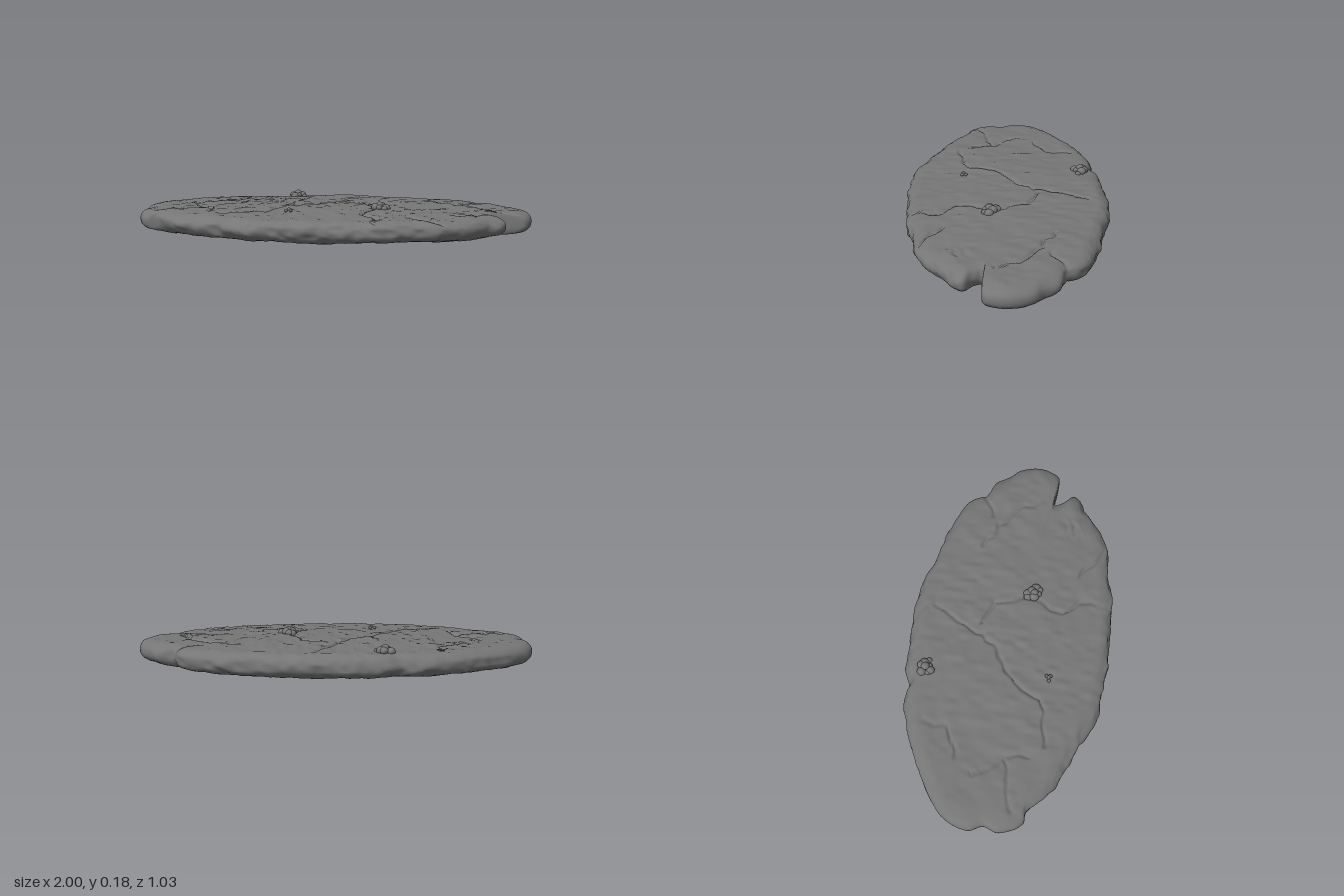
import * as THREE from 'three';

const material = new THREE.MeshStandardMaterial({ color: 0x767676 });

// Smooth value noise in the range -1..1
const hash = (x, y, z) => {
  const s = Math.sin(x * 127.1 + y * 311.7 + z * 74.7) * 43758.5453;
  return (s - Math.floor(s)) * 2 - 1;
};
function noise(x, y, z) {
  const [i, j, k] = [x, y, z].map(Math.floor);
  const [u, v, w] = [x - i, y - j, z - k].map((t) => t * t * (3 - 2 * t));
  const mix = THREE.MathUtils.lerp;
  const row = (b, c) => mix(hash(i, b, c), hash(i + 1, b, c), u);
  return mix(mix(row(j, k), row(j + 1, k), v), mix(row(j, k + 1), row(j + 1, k + 1), v), w);
}

// Broken oval outline (x, z), notched at both ends
const outline = [
  [1, 0], [0.99, 0.07], [0.965, 0.12], [0.91, 0.126], [0.85, 0.122], [0.79, 0.118], [0.81, 0.165],
  [0.86, 0.21], [0.84, 0.25], [0.78, 0.28], [0.74, 0.32], [0.66, 0.38], [0.56, 0.43], [0.42, 0.45],
  [0.3, 0.49], [0.15, 0.5], [0, 0.51], [-0.2, 0.5], [-0.36, 0.48], [-0.5, 0.42], [-0.6, 0.38],
  [-0.72, 0.33], [-0.82, 0.26], [-0.88, 0.205], [-0.93, 0.2], [-0.97, 0.14], [-0.99, 0.08],
  [-0.97, 0.01], [-1, -0.06], [-0.97, -0.17], [-0.9, -0.25], [-0.8, -0.32], [-0.65, -0.4],
  [-0.5, -0.46], [-0.38, -0.48], [-0.32, -0.47], [-0.25, -0.5], [-0.1, -0.51], [0.1, -0.515],
  [0.25, -0.5], [0.4, -0.46], [0.55, -0.42], [0.68, -0.37], [0.76, -0.31], [0.79, -0.25],
  [0.88, -0.21], [0.92, -0.15], [0.97, -0.1],
];

// Crack paths (x, z)
const cracks = [
  [[0.11, -0.42], [0.06, -0.34], [0.01, -0.19], [-0.08, -0.07], [-0.24, 0.04], [-0.33, 0.2], [-0.53, 0.25]],
  [[0.05, -0.16], [0.16, -0.1], [0.22, 0.05], [0.16, 0.2], [0.24, 0.36], [0.23, 0.47]],
  [[0.48, -0.21], [0.62, -0.15], [0.75, -0.05], [0.79, 0.08]],
  [[-0.49, -0.39], [-0.53, -0.25], [-0.65, -0.18]],
  [[-0.75, -0.09], [-0.65, 0.05], [-0.61, 0.18]],
  [[-0.88, 0.12], [-0.66, 0.06]],
  [[0.38, 0.31], [0.54, 0.42]],
  [[0.66, -0.2], [0.79, -0.27]],
];

function crackDepth(x, z) {
  // Wobble the lookup so the cracks run unevenly
  x += 0.02 * noise(x * 16, 3, z * 16);
  z += 0.02 * noise(x * 16, 9, z * 16);
  let best = 1;
  for (const path of cracks) {
    for (let i = 1; i < path.length; i++) {
      const [ax, az] = path[i - 1];
      const dx = path[i][0] - ax, dz = path[i][1] - az;
      const t = THREE.MathUtils.clamp(((x - ax) * dx + (z - az) * dz) / (dx * dx + dz * dz), 0, 1);
      best = Math.min(best, Math.hypot(x - ax - dx * t, z - az - dz * t));
    }
  }
  return Math.exp(-((best / 0.008) ** 2));
}

const bump = (x, z, cx, cz, r) => Math.exp(-((x - cx) ** 2 + (z - cz) ** 2) / (r * r));

// Rings run from the top centre, round the rim, to the bottom centre
function slabGeometry() {
  const SEG = 440, TOP = 76, RIM = 18, BOTTOM = 56, INSET = 0.07, SPAN = 5;
  const edge = new THREE.CatmullRomCurve3(outline.map(([x, z]) => new THREE.Vector3(x, 0, z)), true)
    .getSpacedPoints(SEG).slice(0, SEG);

  // Flat area: the outline smoothed and pulled in, so that it stays inside the notches
  const around = (list, j) => Array.from({ length: 2 * SPAN + 1 }, (_, i) => list[(j + i - SPAN + SEG) % SEG]);
  const mean = (list) => list.reduce((a, b) => a + b, 0) / list.length;
  const least = edge.map((_, j) => Math.min(...around(edge, j).map((p) => p.length())));
  const core = edge.map((_, j) => {
    const near = around(edge, j);
    return new THREE.Vector3(mean(near.map((p) => p.x)), 0, mean(near.map((p) => p.z)))
      .setLength(mean(around(least, j)) - INSET);
  });

  const rings = [];
  for (let i = 0; i < TOP; i++) rings.push([i / TOP, 0]);
  for (let i = 0; i <= RIM; i++) rings.push([1, i / RIM]);
  for (let i = BOTTOM - 1; i >= 0; i--) rings.push([i / BOTTOM, 1]);

  const positions = [], index = [];
  rings.forEach(([t, turn], r) => {
    const angle = Math.PI * (0.5 - turn);
    const side = Math.sign(Math.sin(angle)) * Math.abs(Math.sin(angle)) ** 0.85;
    const flat = Math.abs(side);
    const bulge = Math.max(0, Math.cos(angle));
    const dome = 1 - t * t;
    edge.forEach((p, j) => {
      // Chipped ledges round the rim, stronger along the front
      const chip = (1 - Math.min(1, Math.abs(p.x)) ** 10) * (p.z > 0 ? 1.3 : 1) * bulge
        * (0.009 * noise(p.x * 11, side * 1.7, p.z * 11) + 0.007 * noise(p.x * 25, side * 2.7, p.z * 25));
      const x = THREE.MathUtils.lerp(core[j].x * t, p.x, bulge) + chip * p.x / p.length();
      const z = THREE.MathUtils.lerp(core[j].z * t, p.z, bulge) + chip * p.z / p.length();

      // Gently domed faces, the top one rising to the back
      let y = 0.079 + side * (0.056 + 0.01 * dome);
      if (side > 0) y -= side * 0.012 * z;
      else y -= flat * 0.009 * bump(x, z, 0.03, -0.05, 0.1);

      // Worn surface, rough patch and cracks
      const rough = 0.0045 * noise(x * 9, side * 3, z * 6) + 0.004 * noise(x * 32, side * 7, z * 17);
      const patch = 0.01 * bump(x, z, 0.65, 0.24, 0.055) * noise(x * 45, 5, z * 45);
      y += flat * (rough + patch) - side * 0.013 * crackDepth(x, z);
      positions.push(x, y, z);

      const k = (j + 1) % SEG, u = r * SEG, v = u + SEG;
      if (r > 0 && r < rings.length - 1) index.push(u + j, u + k, v + j);
      if (r < rings.length - 2) index.push(u + k, v + k, v + j);
    });
  });
  const geometry = new THREE.BufferGeometry();
  geometry.setAttribute('position', new THREE.Float32BufferAttribute(positions, 3));
  geometry.setIndex(index);
  geometry.computeVertexNormals();
  return geometry;
}

// Little heap of half-sunk pebbles around a taller one
function pebbleCluster(name, x, z, size, count) {
  const group = new THREE.Group();
  group.name = name;
  group.position.set(x, 0.143, z);
  const ball = new THREE.SphereGeometry(1, 14, 10);
  for (let i = 0; i < count; i++) {
    const pebble = new THREE.Mesh(ball, material);
    const a = i * 2.4 + x * 9, d = i === 0 ? 0 : size * (0.75 + 0.35 * hash(i, x, z));
    const s = size * (0.5 + 0.12 * hash(i, z, x));
    pebble.name = 'pebble';
    pebble.position.set(Math.cos(a) * d, size * (i === 0 ? 0.4 : 0.35 - 0.4 * d / size), Math.sin(a) * d * 1.2);
    pebble.scale.set(s, s * 0.95, s * 1.1);
    group.add(pebble);
  }
  return group;
}

export function createModel() {
  const model = new THREE.Group();
  model.name = 'stoneSlab';
  const slab = new THREE.Mesh(slabGeometry(), material);
  slab.name = 'slab';
  model.add(
    slab,
    pebbleCluster('backPebbles', -0.235, -0.4, 0.036, 9),
    pebbleCluster('middlePebbles', 0.24, 0.085, 0.038, 8),
    pebbleCluster('frontPebbles', -0.2, 0.22, 0.021, 4),
  );
  return model;
}
